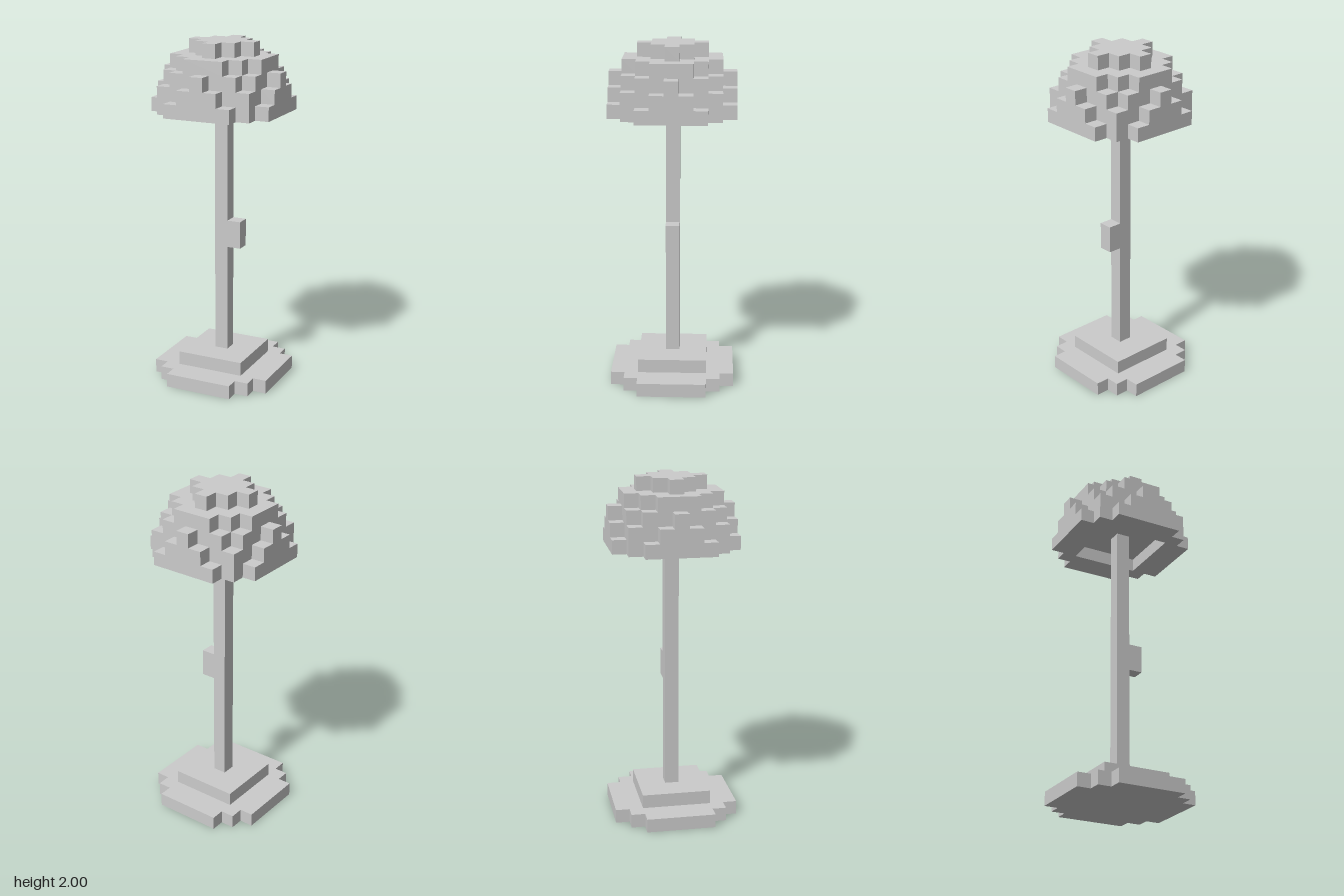
import * as THREE from 'three';

const U = 0.08; // edge of one block
const material = new THREE.MeshStandardMaterial({ color: 0xcccccc, flatShading: true });

function add(parent, name, geometry, x = 0, y = 0, z = 0) {
  const mesh = new THREE.Mesh(geometry, material);
  mesh.name = name;
  mesh.position.set(x, y, z);
  parent.add(mesh);
  return mesh;
}

// One block-high slice of a blocky ball, "level" blocks above its middle
function discLayer(level, holeHalf = 0) {
  const right = [];
  for (let row = -4; row <= 4; row++) {
    const rest = 20 - level * level - row * row;
    if (rest < 0) continue;
    const half = (Math.floor(Math.sqrt(rest)) + 0.5) * U;
    right.push(new THREE.Vector2(half, (row - 0.5) * U), new THREE.Vector2(half, (row + 0.5) * U));
  }
  // drop the points between rows of equal width
  const steps = right.filter((p, i) =>
    i === 0 || i === right.length - 1 || right[i - 1].x !== p.x || right[i + 1].x !== p.x);
  const left = steps.map((p) => new THREE.Vector2(-p.x, p.y)).reverse();
  const shape = new THREE.Shape([...steps, ...left]);
  if (holeHalf) {
    const h = holeHalf;
    shape.holes.push(new THREE.Path([[-h, -h], [-h, h], [h, h], [h, -h]].map((p) => new THREE.Vector2(...p))));
  }
  return new THREE.ExtrudeGeometry(shape, { depth: U, bevelEnabled: false }).rotateX(-Math.PI / 2);
}

export function createModel() {
  const lamp = new THREE.Group();
  lamp.name = 'floorLamp';

  // Foot: stepped disc with a square plinth
  const base = new THREE.Group();
  base.name = 'base';
  add(base, 'baseDisc', discLayer(0));
  add(base, 'basePlinth', new THREE.BoxGeometry(5 * U, U, 5 * U), 0, 1.5 * U);
  lamp.add(base);

  // Pole runs from the plinth up into the recess of the shade
  add(lamp, 'pole', new THREE.BoxGeometry(U, 19 * U, U), 0, 11.5 * U);
  add(lamp, 'switch', new THREE.BoxGeometry(U, 2 * U, U), U, 11 * U);

  // Domed shade: slices of a ball, the lowest one open underneath
  const shade = new THREE.Group();
  shade.name = 'shade';
  for (let level = 0; level < 5; level++) {
    add(shade, 'shadeLayer' + (level + 1), discLayer(level, level === 0 ? 2.5 * U : 0), 0, (20 + level) * U);
  }
  lamp.add(shade);

  return lamp;
}
